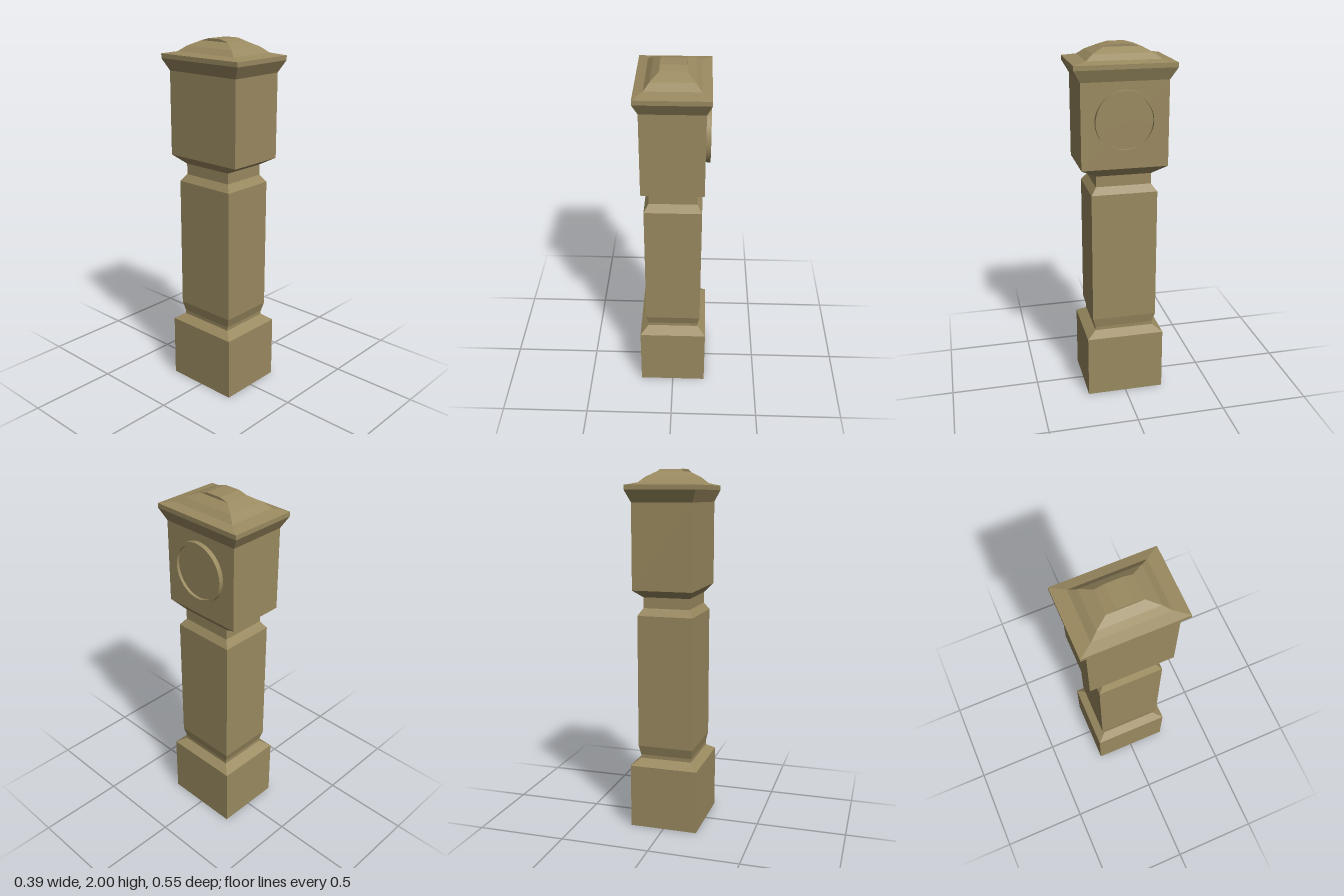
import * as THREE from 'three';
import { toCreasedNormals } from 'three/addons/utils/BufferGeometryUtils.js';

// Lofts stacked rectangles [halfX, halfZ, y], bottom to top; optional end caps
function loft(rings, capBottom = false, capTop = false) {
  const pos = [];
  const corners = ([hx, hz, y]) => [[-hx, y, hz], [hx, y, hz], [hx, y, -hz], [-hx, y, -hz]];
  const quad = (a, b, c, d) => pos.push(...a, ...b, ...c, ...a, ...c, ...d);
  for (let i = 0; i < rings.length - 1; i++) {
    const lo = corners(rings[i]), hi = corners(rings[i + 1]);
    for (let k = 0; k < 4; k++) {
      const n = (k + 1) % 4;
      quad(lo[k], lo[n], hi[n], hi[k]);
    }
  }
  if (capBottom) quad(...corners(rings[0]).reverse());
  if (capTop) quad(...corners(rings[rings.length - 1]));
  const geo = new THREE.BufferGeometry();
  geo.setAttribute('position', new THREE.Float32BufferAttribute(pos, 3));
  geo.computeVertexNormals();
  return geo;
}

export function createModel() {
  const group = new THREE.Group();
  group.name = 'longcaseClock';
  const wood = new THREE.MeshStandardMaterial({ color: 0x9a8a60 });
  wood.name = 'pale wood';

  const add = (name, geo) => {
    const mesh = new THREE.Mesh(geo, wood);
    mesh.name = name;
    group.add(mesh);
    return mesh;
  };

  // Case, from plinth to roof
  add('plinth', loft([[0.192, 0.22, 0], [0.192, 0.22, 0.36], [0.147, 0.167, 0.395]], true));
  add('trunk', loft([
    [0.147, 0.167, 0.395], [0.147, 0.167, 0.415], [0.157, 0.183, 0.47],
    [0.157, 0.183, 1.215], [0.131, 0.153, 1.255],
  ]));
  add('neck', loft([[0.131, 0.153, 1.255], [0.131, 0.153, 1.315]]));
  add('hood', loft([[0.131, 0.153, 1.315], [0.167, 0.237, 1.36], [0.167, 0.237, 1.825]]));
  add('cornice', loft([
    [0.167, 0.237, 1.825], [0.1935, 0.274, 1.89], [0.1935, 0.274, 1.915], [0.142, 0.2, 1.928],
  ]));
  add('domedRoof', loft([
    [0.142, 0.2, 1.928], [0.112, 0.16, 1.958], [0.068, 0.095, 1.987], [0.068, 0.045, 2],
  ], false, true));

  // Round dial with a raised rim on the +x side of the hood
  const profile = [[0.164, 0], [0.164, 0.027], [0.148, 0.027], [0.148, 0.01], [0, 0.01]]
    .map(([r, h]) => new THREE.Vector2(r, h));
  const dial = add('dial', toCreasedNormals(new THREE.LatheGeometry(profile, 48), 0.6));
  dial.rotation.z = -Math.PI / 2;
  dial.position.set(0.1665, 1.618, 0);

  return group;
}
